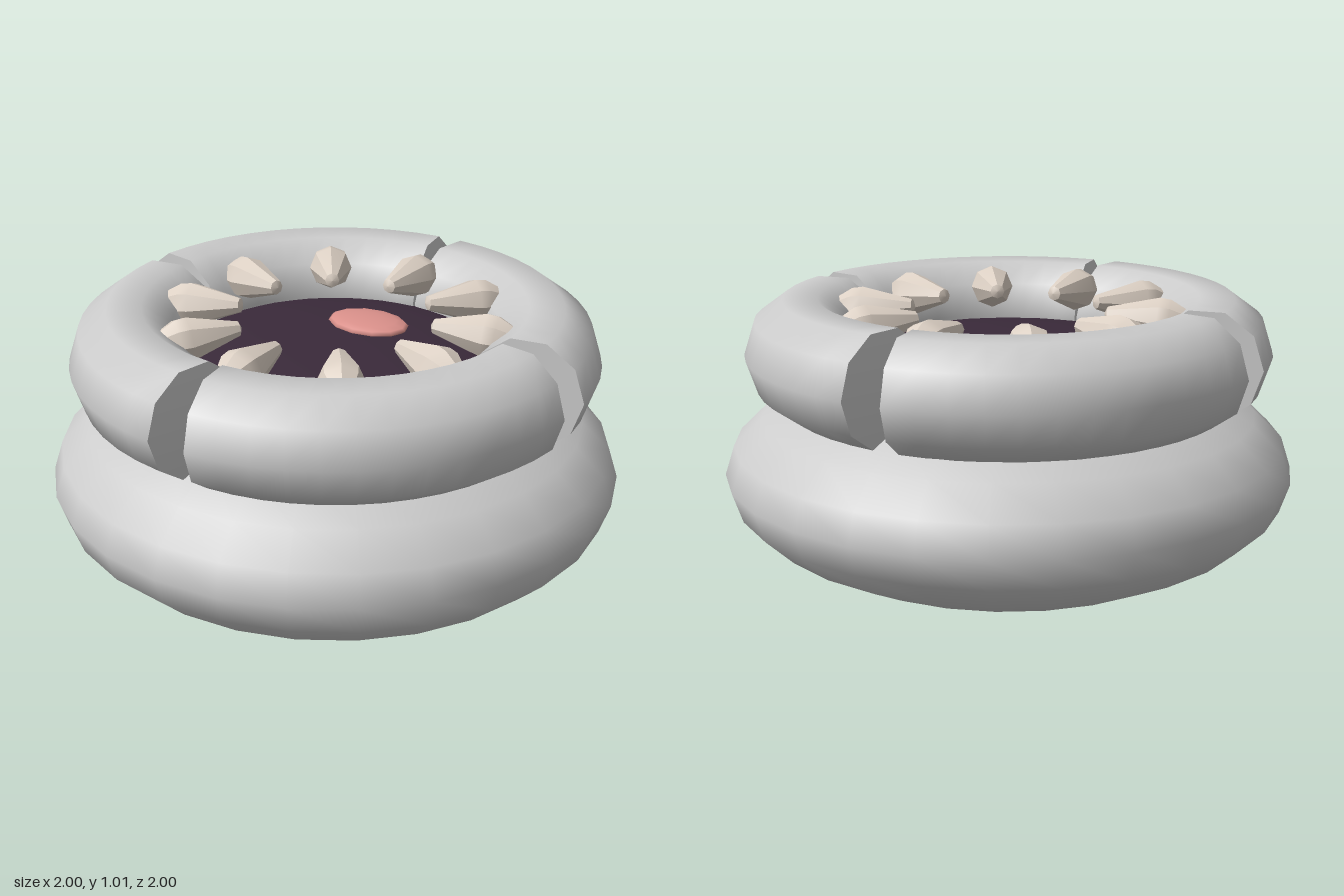
import * as THREE from 'three';
import { toCreasedNormals } from 'three/addons/utils/BufferGeometryUtils.js';

const RING_RADIUS = 0.72, TUBE_RADIUS = 0.195, RING_Y = 0.823;

function part(name, geometry, color = 0xcccccc) {
  const mesh = new THREE.Mesh(geometry, new THREE.MeshStandardMaterial({ color }));
  mesh.name = name;
  return mesh;
}

function ellipsoid(rx, ry, rz, around, rows) {
  return new THREE.SphereGeometry(1, around, rows).scale(rx, ry, rz);
}

// One quarter of the lip: a closed tube whose ends leave wedge-shaped gaps.
// A bulged end swells to the middle of its gap.
function lipQuarter(start, bulgeStart, bulgeEnd) {
  const sides = 10, steps = 12, positions = [], index = [];
  const gap = r => 0.02 + 0.17 * (r - 0.62);

  const addPoint = (r, y, u, halfGap) => {
    const g = Math.asin(halfGap / r);
    const a = start + g + u * (Math.PI / 2 - 2 * g);
    positions.push(r * Math.cos(a), y, r * Math.sin(a));
  };
  const addSection = (u, radius, bulge) => {
    for (let j = 0; j < sides; j++) {
      const t = (j / sides) * Math.PI * 2;
      const r = RING_RADIUS + radius * Math.cos(t);
      addPoint(r, RING_Y + radius * Math.sin(t), u, bulge ? 0.002 : gap(r));
    }
  };

  addSection(0, 0, bulgeStart);
  for (let i = 0; i <= steps; i++) addSection(i / steps, TUBE_RADIUS, false);
  addSection(1, 0, bulgeEnd);

  const sections = steps + 3;
  for (let i = 0; i < sections - 1; i++) {
    for (let j = 0; j < sides; j++) {
      const k = (j + 1) % sides;
      const a = i * sides + j, b = i * sides + k, c = a + sides, d = b + sides;
      if (i > 0) index.push(a, b, c);
      if (i < sections - 2) index.push(b, d, c);
    }
  }
  const geometry = new THREE.BufferGeometry();
  geometry.setAttribute('position', new THREE.Float32BufferAttribute(positions, 3));
  geometry.setIndex(index);
  return toCreasedNormals(geometry, 0.87);
}

// A blunt cone lying along z, with its tip towards the centre
function toothGeometry() {
  const profile = [[0, -0.13], [0.035, -0.12], [0.075, -0.04], [0.078, 0], [0.026, 0.175], [0, 0.185]];
  const geometry = new THREE.LatheGeometry(profile.map(([r, h]) => new THREE.Vector2(r, h)), 8);
  geometry.rotateX(-Math.PI / 2 + 0.08);
  return toCreasedNormals(geometry, 0.7);
}

export function createModel() {
  const model = new THREE.Group();

  // Flattened round base
  const body = part('body', ellipsoid(1, 0.4, 1, 28, 12));
  body.position.y = 0.4;
  model.add(body);

  // Segmented lip
  const lip = new THREE.Group();
  lip.name = 'lip';
  for (let k = 0; k < 4; k++) {
    lip.add(part('lipQuarter', lipQuarter((k * Math.PI) / 2, k % 2 === 1, k % 2 === 0)));
  }
  model.add(lip);

  // Dark mouth floor and tongue
  const mouth = part('mouth', ellipsoid(0.62, 0.08, 0.62, 24, 12), 0x3a2a3a);
  mouth.position.y = 0.77;
  const tongue = part('tongue', ellipsoid(0.155, 0.025, 0.112, 12, 8), 0xdb918b);
  tongue.position.set(0, 0.853, -0.21);
  model.add(mouth, tongue);

  // Ring of ten teeth
  const teeth = new THREE.Group();
  teeth.name = 'teeth';
  const geometry = toothGeometry();
  for (let i = 0; i < 10; i++) {
    const angle = (i / 10) * Math.PI * 2;
    const tooth = part('tooth', geometry, 0xdcd0c4);
    tooth.position.set(0.52 * Math.sin(angle), 0.935, 0.52 * Math.cos(angle));
    tooth.rotation.y = angle;
    teeth.add(tooth);
  }
  model.add(teeth);

  return model;
}
